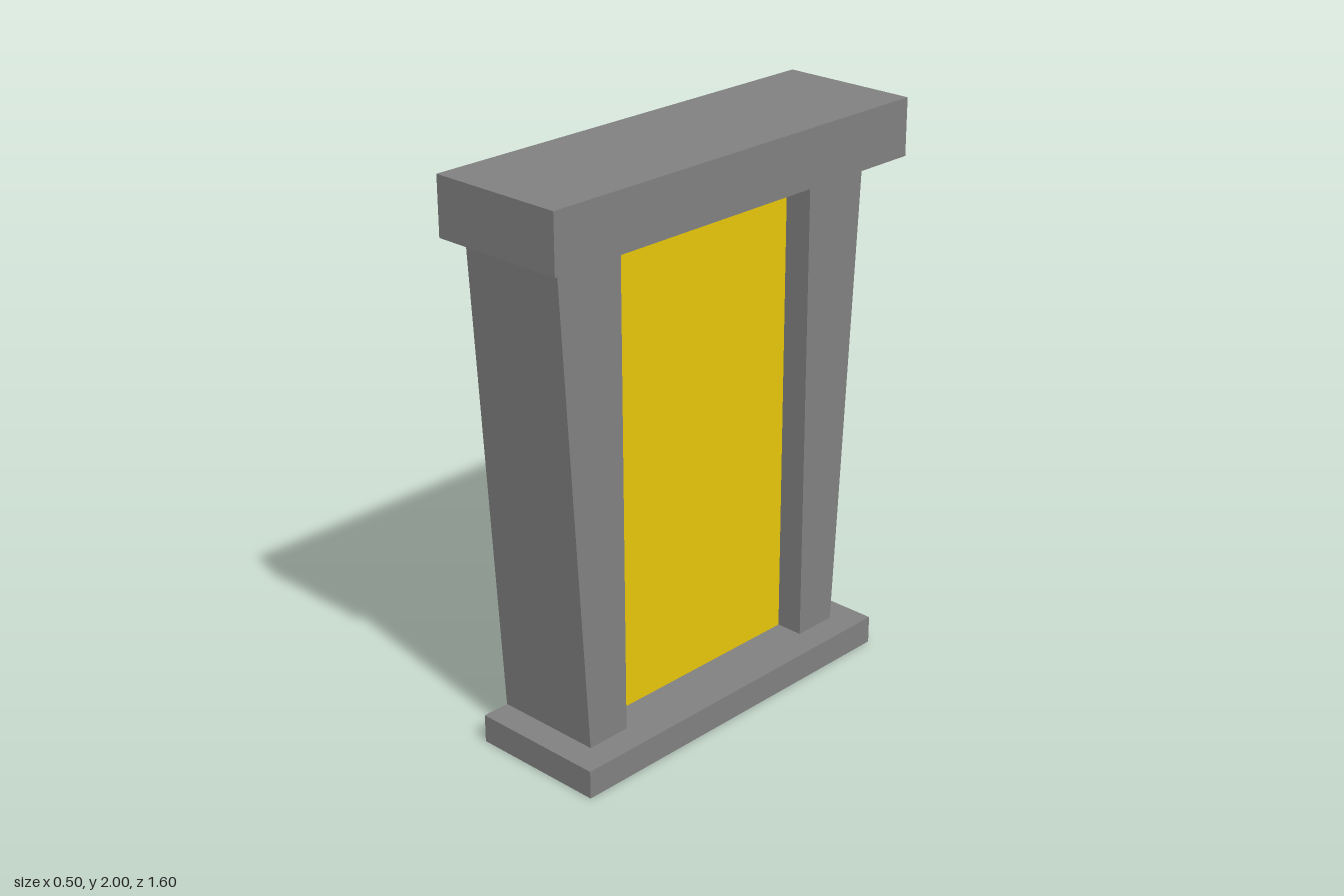
import * as THREE from 'three';

const BACK = -0.25, FRONT = 0.25, PILLAR_FRONT = 0.15, PANEL_X = 0.05, PANEL_HALF = 0.435;
const BASE_HALF = 0.7, CAP_HALF = 0.8, BASE_TOP = 0.1, CAP_BOTTOM = 1.8, HEIGHT = 2;

const grey = new THREE.MeshStandardMaterial({ color: 0x808080, flatShading: true, side: THREE.DoubleSide });
const yellow = new THREE.MeshStandardMaterial({ color: 0xe7c60c, flatShading: true, side: THREE.DoubleSide });

// Plan outlines as [x, z], open at the back, running from -z round to +z
const slabOutline = h => [[BACK, -h], [FRONT, -h], [FRONT, h], [BACK, h]];
const pillarOutline = (h, s) => {
  const p = [[BACK, -h], [PILLAR_FRONT, -h], [PILLAR_FRONT, -PANEL_HALF], [PANEL_X, -PANEL_HALF]];
  return s < 0 ? p : p.map(([x, z]) => [x, -z]).reverse();
};
const wallOutline = h => [...pillarOutline(h, -1), ...pillarOutline(h, 1)];

function addMesh(parent, name, geometry, material = grey) {
  const mesh = new THREE.Mesh(geometry, material);
  mesh.name = name;
  parent.add(mesh);
  return mesh;
}

// Upright faces between two outlines
function loft(low, y0, high, y1) {
  const pos = [];
  for (let i = 0; i < low.length - 1; i++) {
    const at = (o, k, y) => [o[k][0], y, o[k][1]];
    const a = at(low, i, y0), b = at(low, i + 1, y0), c = at(high, i, y1), d = at(high, i + 1, y1);
    pos.push(...b, ...a, ...c, ...b, ...c, ...d);
  }
  const g = new THREE.BufferGeometry();
  g.setAttribute('position', new THREE.Float32BufferAttribute(pos, 3));
  g.computeVertexNormals();
  return g;
}

// Level face; outlines are symmetric in z, so it can be turned up or down
function level(points, y, up) {
  const shape = new THREE.Shape(points.map(([x, z]) => new THREE.Vector2(x, z)));
  return new THREE.ShapeGeometry(shape).rotateX(up ? -Math.PI / 2 : Math.PI / 2).translate(0, y, 0);
}

// Hollow slab: sides, closed outer face, and a ledge cut round the walls
function addSlab(parent, name, half, wallHalf, y0, y1, isCap) {
  const slab = new THREE.Group();
  slab.name = name;
  const rim = slabOutline(half);
  const ledge = [...rim, ...wallOutline(wallHalf).reverse()];
  addMesh(slab, name + 'Sides', loft(rim, y0, rim, y1));
  addMesh(slab, name + 'Face', level(rim, isCap ? y1 : y0, isCap));
  addMesh(slab, name + 'Ledge', level(ledge, isCap ? y0 : y1, !isCap));
  parent.add(slab);
}

export function createModel() {
  const model = new THREE.Group();
  model.name = 'framedPanel';

  addSlab(model, 'base', BASE_HALF, 0.6, 0, BASE_TOP, false);
  addSlab(model, 'cap', CAP_HALF, 0.7, CAP_BOTTOM, HEIGHT, true);

  // Pillars, leaning outward towards the cap
  for (const s of [-1, 1]) {
    addMesh(model, s < 0 ? 'pillarBack' : 'pillarFront',
      loft(pillarOutline(0.6, s), BASE_TOP, pillarOutline(0.7, s), CAP_BOTTOM));
  }

  // Recessed yellow panel between the pillars, facing +x
  const panel = new THREE.PlaneGeometry(2 * PANEL_HALF, CAP_BOTTOM - BASE_TOP).rotateY(Math.PI / 2);
  addMesh(model, 'panel', panel, yellow).position.set(PANEL_X, (BASE_TOP + CAP_BOTTOM) / 2, 0);

  return model;
}
